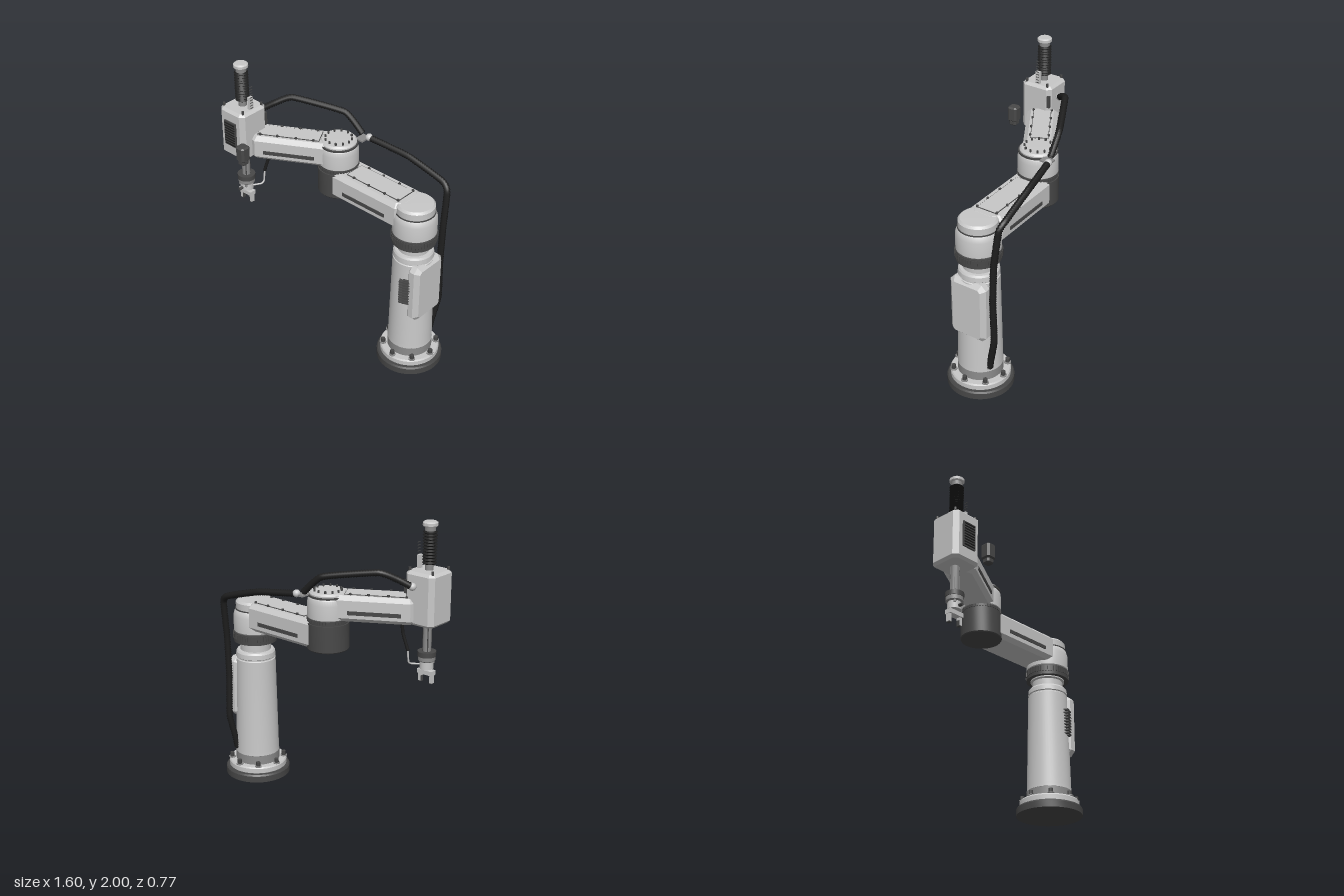
import * as THREE from 'three';
import { toCreasedNormals } from 'three/addons/utils/BufferGeometryUtils.js';

const mat = (name, color, side = THREE.FrontSide) => {
  const m = new THREE.MeshStandardMaterial({ color, side });
  m.name = name;
  return m;
};

export function createModel() {
  const shell = mat('light shell', 0xc8c8c8);
  const steel = mat('steel grey', 0x8c8c8c);
  const dark = mat('dark grey', 0x484848);
  const black = mat('rubber black', 0x1e1e1e, THREE.DoubleSide);

  const model = new THREE.Group();
  model.name = 'robotArm';

  const add = (parent, name, geo, material, x = 0, y = 0, z = 0) => {
    const m = new THREE.Mesh(geo, material);
    m.name = name;
    m.position.set(x, y, z);
    parent.add(m);
    return m;
  };
  const group = (name, x, y, z, parent = model) => {
    const g = new THREE.Group();
    g.name = name;
    g.position.set(x, y, z);
    parent.add(g);
    return g;
  };
  const box = (w, h, d) => new THREE.BoxGeometry(w, h, d);
  // cylinder standing on its base
  const cyl = (r, h, n = 12) => new THREE.CylinderGeometry(r, r, h, n).translate(0, h / 2, 0);
  const lathe = (pts, n = 48) =>
    toCreasedNormals(new THREE.LatheGeometry(pts.map(p => new THREE.Vector2(...p)), n), 0.5);
  // bevelled block with cut corners, standing on its base
  const block = (w, d, h, c, b) => {
    const x = w / 2, y = d / 2;
    const s = new THREE.Shape([[-x + c, -y], [x - c, -y], [x, -y + c], [x, y - c],
      [x - c, y], [-x + c, y], [-x, y - c], [-x, -y + c]].map(p => new THREE.Vector2(...p)));
    return new THREE.ExtrudeGeometry(s, {
      depth: h - 2 * b, bevelSize: b, bevelThickness: b, bevelOffset: -b, bevelSegments: 1,
    }).rotateX(-Math.PI / 2).translate(0, b, 0);
  };
  const ring = (n, r, fn) => {
    for (let i = 0; i < n; i++) {
      const a = (i / n) * Math.PI * 2;
      fn(Math.cos(a) * r, Math.sin(a) * r, a);
    }
  };
  const toothedRing = (parent, name, y, h, r, n) => {
    add(parent, name, cyl(r, h, 48), dark, 0, y, 0);
    ring(n, r, (x, z, a) => {
      add(parent, name + 'Tooth', box(0.012, h * 0.55, 0.011), dark, x, y + h * 0.62, z).rotation.y = -a;
    });
  };

  // Base and column
  const column = group('column', 0.57, 0, -0.138);
  add(column, 'basePlate', lathe([[0, 0], [0.23, 0], [0.23, 0.045], [0.222, 0.056], [0, 0.056]]), dark);
  add(column, 'baseFlange', lathe([[0.2, 0.056], [0.207, 0.062], [0.207, 0.095], [0.2, 0.105], [0, 0.105]]), shell);
  add(column, 'baseCollar', cyl(0.156, 0.065, 48), steel, 0, 0.105, 0);
  ring(8, 0.187, (x, z) => {
    add(column, 'baseWasher', cyl(0.024, 0.007, 16), steel, x, 0.105, z);
    add(column, 'baseBolt', cyl(0.016, 0.03, 6), dark, x, 0.112, z);
  });
  add(column, 'columnBody', lathe([[0.15, 0.165], [0.156, 0.172], [0.154, 0.2], [0.14, 0.88], [0.134, 0.885],
    [0.134, 0.892], [0.14, 0.897], [0.137, 0.93], [0.128, 0.943], [0.108, 0.945], [0.108, 0.995],
    [0.122, 1.002], [0.122, 1.015], [0, 1.015]]), shell);
  toothedRing(column, 'shoulderRing', 1.01, 0.07, 0.152, 48);
  add(column, 'shoulderHousing', lathe([[0.14, 1.08], [0.15, 1.09], [0.15, 1.2], [0.14, 1.235], [0.133, 1.243], [0, 1.243]]), shell);
  add(column, 'shoulderSeam', cyl(0.137, 0.008, 48), dark, 0, 1.242, 0);
  add(column, 'shoulderCap', lathe([[0.132, 1.25], [0.132, 1.295], [0.118, 1.31], [0, 1.312]]), shell);

  // Service panel on the column's side
  const panel = add(column, 'sidePanel', block(0.45, 0.282, 0.1, 0.035, 0.03), shell, 0.052, 0.665, 0);
  panel.rotation.z = -Math.PI / 2;

  // Finned vent on the column's front
  const vent = group('columnVent', 0, 0.67, 0, column);
  vent.rotation.y = 0.42;
  add(vent, 'ventBody', box(0.075, 0.2, 0.04), dark, 0.01, 0, 0.14);
  for (let i = 0; i < 9; i++) add(vent, 'ventFin', box(0.1, 0.009, 0.035), dark, -0.002, -0.088 + i * 0.022, 0.148);

  // Arm link along local +x, with cover, screws and side slots
  const link = (g, start, end, width, h, slot, slotY, cover, screws) => {
    add(g, 'linkBody', block(end - start, width, h, 0.06, 0.028), shell, (start + end) / 2, 0, 0);
    const [c0, c1] = cover, cw = width * 0.58;
    add(g, 'coverSeam', box(c1 - c0, 0.004, cw), dark, (c0 + c1) / 2, h + 0.002, 0);
    add(g, 'cover', box(c1 - c0 - 0.008, 0.006, cw - 0.008), shell, (c0 + c1) / 2, h + 0.003, 0);
    for (const s of [-1, 1]) {
      add(g, 'sideSlot', box(slot[1] - slot[0], 0.026, 0.008), dark,
        (slot[0] + slot[1]) / 2, slotY, s * (width / 2 + 0.001));
      for (const x of screws) add(g, 'coverScrew', cyl(0.009, 0.012, 8), dark, x, h, s * cw / 2);
    }
  };
  const upperArm = group('upperArm', 0, 1.118, -0.142);
  link(upperArm, -0.112, 0.555, 0.262, 0.194, [0.04, 0.41], 0.07, [0.03, 0.485], [0.094, 0.226, 0.363, 0.479]);

  // Elbow
  const elbow = group('elbow', -0.112, 0, -0.14);
  add(elbow, 'elbowCover', lathe([[0, 1.108], [0.138, 1.108], [0.143, 1.115], [0.143, 1.295], [0, 1.295]]), dark);
  toothedRing(elbow, 'elbowRing', 1.293, 0.034, 0.135, 44);
  add(elbow, 'elbowHousing', lathe([[0.13, 1.325], [0.138, 1.333], [0.138, 1.43], [0.132, 1.465], [0.125, 1.474], [0, 1.474]]), shell);
  add(elbow, 'elbowSeam', cyl(0.134, 0.012, 48), dark, 0, 1.474, 0);
  add(elbow, 'elbowCap', lathe([[0.124, 1.486], [0.124, 1.495], [0.112, 1.507], [0, 1.509]]), shell);
  ring(12, 0.092, (x, z) => add(elbow, 'elbowBolt', cyl(0.007, 0.018, 8), dark, x, 1.506, z));

  // Forearm
  const forearm = group('forearm', -0.112, 1.325, -0.14);
  forearm.rotation.y = Math.atan2(-0.33, -0.573);
  link(forearm, 0, 0.62, 0.216, 0.176, [0.147, 0.5], 0.066, [0.12, 0.55], [0.16, 0.28, 0.41, 0.53]);

  // Tool head
  const head = group('toolHead', -0.686, 0, 0.189);
  add(head, 'headBody', block(0.228, 0.238, 0.357, 0.03, 0.018), shell, 0, 1.325, 0);
  for (const x of [-1, 1]) for (const z of [-1, 1])
    add(head, 'headScrew', cyl(0.009, 0.025, 8), dark, x * 0.09, 1.677, z * 0.085);
  add(head, 'headVent', box(0.108, 0.186, 0.014), dark, 0, 1.508, 0.122);
  for (let i = 0; i < 9; i++) add(head, 'headVentFin', box(0.09, 0.007, 0.012), black, 0, 1.43 + i * 0.0195, 0.129);
  add(head, 'headConnector', box(0.02, 0.09, 0.02), dark, 0.102, 1.575, -0.105);
  add(head, 'scalePlate', box(0.02, 0.2, 0.035), shell, 0.076, 1.67, 0);
  for (let i = 0; i < 9; i++) add(head, 'scaleMark', box(0.004, 0.004, 0.025), dark, 0.087, 1.69 + i * 0.02, 0);

  // Spindle, bellows and end cap
  add(head, 'spindle', cyl(0.028, 0.89, 24), steel, 0, 1.07, 0);
  for (let i = 0; i < 4; i++) {
    const a = Math.PI / 4 + i * Math.PI / 2;
    add(head, 'spline', box(0.008, 0.21, 0.008), dark, Math.cos(a) * 0.026, 1.22, Math.sin(a) * 0.026).rotation.y = -a;
  }
  const folds = [];
  for (let i = 0; i <= 22; i++) folds.push([i % 2 ? 0.048 : 0.034, 1.72 + i * 0.01]);
  add(head, 'bellows', lathe(folds, 28), black);
  add(head, 'spindleNeck', cyl(0.036, 0.035, 24), steel, 0, 1.94, 0);
  add(head, 'spindleCap', lathe([[0, 1.968], [0.046, 1.968], [0.05, 1.974], [0.05, 1.992], [0.04, 2.0], [0, 2.0]], 32), shell);

  // Gripper
  const gripper = group('gripper', 0, 0, 0, head);
  add(gripper, 'gripperRing', cyl(0.062, 0.034, 32), dark, 0, 1.097, 0);
  add(gripper, 'gripperCollar', lathe([[0, 1.062], [0.05, 1.062], [0.058, 1.07], [0.058, 1.097], [0, 1.097]], 32), steel);
  add(gripper, 'gripperBody', cyl(0.046, 0.055, 24), shell, 0, 1.01, 0);
  add(gripper, 'gripperRail', box(0.115, 0.03, 0.05), shell, 0, 0.985, 0);
  add(gripper, 'gripperNub', cyl(0.011, 0.03, 12).rotateX(Math.PI / 2), dark, 0, 1.03, 0.045);
  for (const s of [-1, 1]) {
    add(gripper, 'sensorNub', cyl(0.009, 0.02, 10), steel, s * 0.03, 1.045, 0.035);
    add(gripper, 'finger', box(0.02, 0.07, 0.028), shell, s * 0.046, 0.95, 0);
    add(gripper, 'fingerTip', box(0.02, 0.04, 0.024), dark, s * 0.043, 0.93, 0);
  }

  // Handheld control box beside the head
  add(model, 'controlBox', block(0.076, 0.076, 0.11, 0.014, 0.01), dark, -0.539, 1.378, 0.344);
  add(model, 'controlBoxFoot', block(0.056, 0.056, 0.04, 0.01, 0.008), dark, -0.539, 1.345, 0.344);

  // Corrugated hoses: tube rings alternate between two radii
  const curve = pts => new THREE.CatmullRomCurve3(pts.map(p => new THREE.Vector3(...p)), false, 'catmullrom', 0.22);
  const hose = (name, pts, r) => {
    const path = curve(pts), n = Math.round(path.getLength() / 0.009), sides = 12;
    const geo = new THREE.TubeGeometry(path, n, r, sides);
    const pos = geo.attributes.position, v = new THREE.Vector3();
    for (let i = 0; i <= n; i++) {
      const c = path.getPointAt(i / n), k = i % 2 ? 1 : 0.8;
      for (let j = 0; j <= sides; j++) {
        const q = i * (sides + 1) + j;
        v.fromBufferAttribute(pos, q).sub(c).multiplyScalar(k).add(c);
        pos.setXYZ(q, v.x, v.y, v.z);
      }
    }
    geo.computeVertexNormals();
    add(model, name, geo, black);
  };
  hose('headHose', [[-0.655, 1.6, 0.035], [-0.59, 1.645, -0.02], [-0.5, 1.688, -0.1], [-0.17, 1.635, -0.265], [-0.03, 1.51, -0.29]], 0.024);
  hose('mainHose', [[0.03, 1.492, -0.305], [0.32, 1.455, -0.35], [0.6, 1.375, -0.368], [0.655, 1.32, -0.355],
    [0.665, 1.05, -0.322], [0.665, 0.76, -0.312], [0.665, 0.46, -0.32], [0.65, 0.28, -0.282], [0.645, 0.2, -0.268]], 0.024);
  const ball = (name, x, y, z, r = 0.026) => add(model, name, new THREE.SphereGeometry(r, 20, 14), shell, x, y, z);
  ball('headHoseGland', -0.662, 1.595, 0.045);
  ball('elbowHoseGland', 0.018, 1.495, -0.303);
  ball('baseHoseGland', 0.645, 0.205, -0.262, 0.022);
  add(model, 'hoseBracket', box(0.06, 0.012, 0.08), steel, -0.015, 1.487, -0.275);

  // Gripper cable
  const cable = (name, pts, r, material) => add(model, name, new THREE.TubeGeometry(curve(pts), 24, r, 10), material);
  cable('gripperCable', [[-0.575, 1.34, 0.06], [-0.578, 1.26, 0.068], [-0.605, 1.14, 0.09]], 0.011, black);
  cable('gripperPipe', [[-0.605, 1.15, 0.088], [-0.605, 1.06, 0.1], [-0.61, 1.042, 0.12], [-0.65, 1.035, 0.17]], 0.006, shell);

  return model;
}
